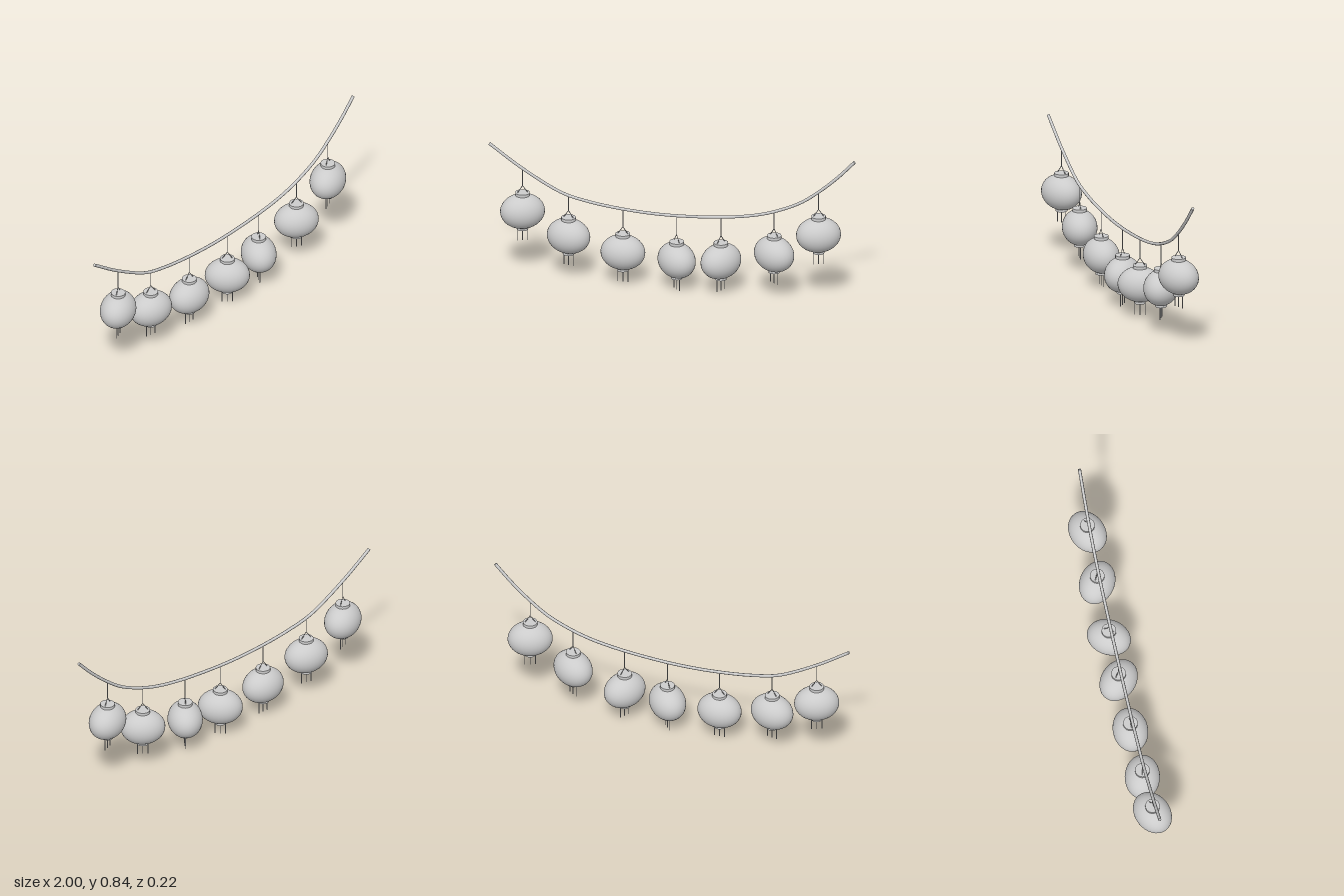
import * as THREE from 'three';

const material = new THREE.MeshStandardMaterial({ color: 0xcccccc });
const UP = new THREE.Vector3(0, 1, 0);

function add(parent, name, geometry) {
  const mesh = new THREE.Mesh(geometry, material);
  mesh.name = name;
  parent.add(mesh);
  return mesh;
}

// Thin straight wire between two points
function wire(parent, name, a, b, radius) {
  const dir = b.clone().sub(a);
  const mesh = add(parent, name, new THREE.CylinderGeometry(radius, radius, dir.length(), 6));
  mesh.position.copy(a).add(b).multiplyScalar(0.5);
  mesh.quaternion.setFromUnitVectors(UP, dir.normalize());
}

// Point on the rope at a given x (x grows steadily along the curve)
function ropeHeight(curve, x) {
  let lo = 0, hi = 1;
  for (let i = 0; i < 30; i++) {
    const mid = (lo + hi) / 2;
    if (curve.getPoint(mid).x < x) lo = mid; else hi = mid;
  }
  return curve.getPoint(lo).y;
}

// One lantern, origin at the centre of its oval body
function lantern(stringTop) {
  const g = new THREE.Group();
  g.name = 'lantern';
  const v = (x, y) => new THREE.Vector3(x, y, 0);

  add(g, 'lanternBody', new THREE.SphereGeometry(1, 32, 24)).scale.set(0.12, 0.096, 0.0935);
  add(g, 'topCap', new THREE.CylinderGeometry(0.039, 0.039, 0.016, 16)).position.y = 0.1;
  add(g, 'bottomCap', new THREE.CylinderGeometry(0.031, 0.031, 0.013, 16)).position.y = -0.0985;

  // Hanger and string
  for (const s of [-1, 1]) wire(g, 'hanger', v(s * 0.028, 0.106), v(0, 0.147), 0.002);
  wire(g, 'string', v(0, 0.146), v(0, stringTop), 0.0022);

  // Tassels
  for (const x of [-0.028, 0, 0.028]) wire(g, 'tassel', v(x, -0.171), v(x, -0.1), 0.0022);
  return g;
}

export function createModel() {
  const model = new THREE.Group();
  model.name = 'lanternGarland';

  // Sagging rope
  const curve = new THREE.CatmullRomCurve3([
    [-0.996, 0.744], [-0.815, 0.617], [-0.6, 0.498], [-0.47, 0.464], [-0.27, 0.437],
    [-0.03, 0.427], [0.265, 0.445], [0.45, 0.475], [0.57, 0.512], [0.7, 0.573],
    [0.8, 0.647], [0.9, 0.738], [0.994, 0.839],
  ].map(([x, y]) => new THREE.Vector3(x, y, 0)));
  add(model, 'rope', new THREE.TubeGeometry(curve, 96, 0.0085, 8, false));
  for (const t of [0, 1]) {
    const end = add(model, 'ropeEnd', new THREE.CircleGeometry(0.0085, 8));
    end.position.copy(curve.getPoint(t));
    const out = curve.getTangent(t).multiplyScalar(t ? 1 : -1);
    end.quaternion.setFromUnitVectors(new THREE.Vector3(0, 0, 1), out);
  }

  // Lanterns: x, body height, turn in degrees
  const places = [
    [-0.815, 0.37, 24], [-0.564, 0.251, -13], [-0.268, 0.187, 0], [0.025, 0.171, -45],
    [0.266, 0.19, 57], [0.556, 0.261, -33], [0.798, 0.398, 23],
  ];
  for (const [x, y, turn] of places) {
    const l = lantern(ropeHeight(curve, x) - y);
    l.position.set(x, y, 0);
    l.rotation.y = THREE.MathUtils.degToRad(turn);
    model.add(l);
  }
  return model;
}
